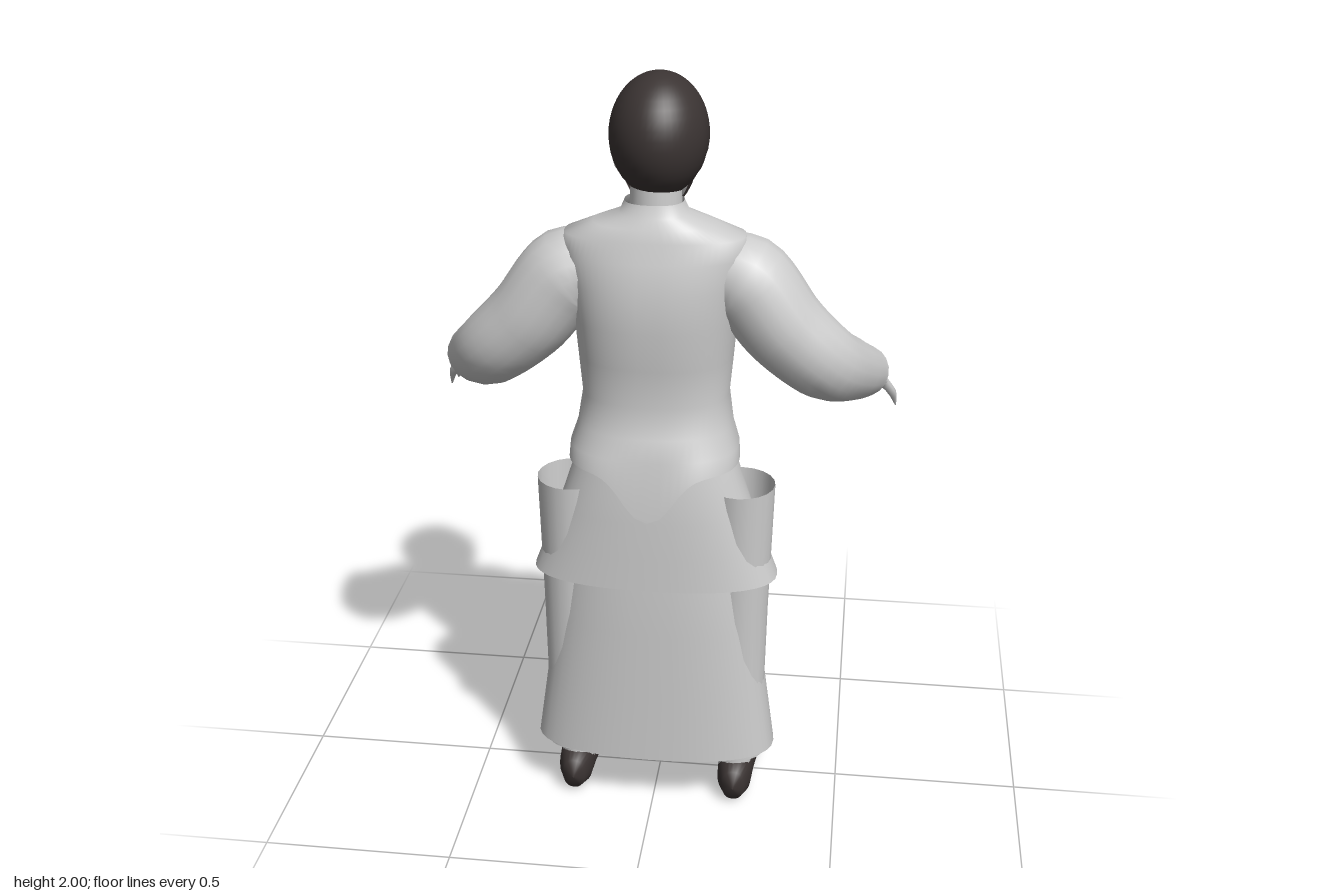
import * as THREE from 'three';
import { mergeVertices } from 'three/addons/utils/BufferGeometryUtils.js';

const mat = (name, color, side = THREE.FrontSide) => {
  const m = new THREE.MeshStandardMaterial({ color, side });
  m.name = name;
  return m;
};

// Surface from a grid of points; rows ascend, columns run from +x towards +z
function grid(rows, cols, closed, at) {
  const pos = [], idx = [], n = closed ? cols : cols + 1;
  for (let j = 0; j <= rows; j++) for (let i = 0; i < n; i++) pos.push(...at(j, i / cols));
  for (let j = 0; j < rows; j++) for (let i = 0; i < cols; i++) {
    const a = j * n + i, b = j * n + (i + 1) % n;
    idx.push(a, a + n, b, b, a + n, b + n);
  }
  const g = new THREE.BufferGeometry();
  g.setAttribute('position', new THREE.Float32BufferAttribute(pos, 3));
  g.setIndex(idx);
  g.computeVertexNormals();
  return g;
}

// Loft of rounded sections [y, halfWidth, zFront, zBack]; gap opens the front
function loft(rings, { power = 2.4, gap = 0, cols = 40, hem = null } = {}) {
  const t0 = -Math.PI / 2 + gap, span = 2 * Math.PI - 2 * gap;
  const bend = v => Math.sign(v) * Math.abs(v) ** (2 / power);
  return grid(rings.length - 1, cols, gap === 0, (j, u) => {
    const [y, hx, zf, zb] = rings[j], t = t0 + span * u;
    const c = Math.cos(t), s = Math.sin(t);
    return [hx * bend(c), y + (hem ? hem(j, s, c) : 0), (zf + zb) / 2 + bend(s) * (zb - zf) / 2];
  });
}

// Smooth tube through points with a radius at each point
function taper(points, radii, steps = 20, sides = 14) {
  const curve = new THREE.CatmullRomCurve3(points.map(p => new THREE.Vector3(...p)));
  let g = new THREE.TubeGeometry(curve, steps, 1, sides);
  const p = g.attributes.position, v = new THREE.Vector3();
  for (let i = 0; i < p.count; i++) {
    const u = Math.floor(i / (sides + 1)) / steps, c = curve.getPointAt(u);
    // radii follow the same curve parameter as the points
    const k = Math.min(curve.getUtoTmapping(u), 0.9999) * (radii.length - 1), a = Math.floor(k);
    const r = THREE.MathUtils.lerp(radii[a], radii[a + 1], k - a);
    v.fromBufferAttribute(p, i).sub(c).multiplyScalar(r).add(c);
    p.setXYZ(i, v.x, v.y, v.z);
  }
  g.deleteAttribute('uv');
  g.deleteAttribute('normal');
  g = mergeVertices(g, 1e-5);
  g.computeVertexNormals();
  return g;
}

export function createModel() {
  const model = new THREE.Group();
  const cloth = mat('pale cloth', 0xcccccc, THREE.DoubleSide);
  const skin = mat('pale skin', 0xcccccc);
  const dark = mat('dark brown', 0x3b3433, THREE.DoubleSide);
  const black = mat('black frame', 0x1c1a1a);
  const add = (name, geometry, material, pos = [0, 0, 0], scale = [1, 1, 1]) => {
    const m = new THREE.Mesh(geometry, material);
    m.name = name;
    m.position.set(...pos);
    m.scale.set(...scale);
    model.add(m);
    return m;
  };
  const ball = new THREE.SphereGeometry(1, 20, 14);

  // Jacket: open front, rear hem drawn down to a rounded tail
  const body = [
    [1.03, 0.218, -0.05, 0.275], [1.07, 0.215, -0.05, 0.262], [1.12, 0.198, -0.052, 0.235],
    [1.2, 0.186, -0.06, 0.218], [1.3, 0.195, -0.074, 0.228], [1.4, 0.203, -0.078, 0.24],
    [1.5, 0.215, -0.058, 0.238], [1.57, 0.228, -0.02, 0.22], [1.62, 0.222, 0, 0.207],
    [1.65, 0.15, 0.02, 0.198], [1.675, 0.085, 0.04, 0.185], [1.705, 0.072, 0.055, 0.175]];
  const tail = (j, s, c) => j === 0 && s > 0 ? -0.12 * Math.exp(-((c / 0.3) ** 2)) : 0;
  add('jacket', loft(body, { gap: 0.33, cols: 56, hem: tail }), cloth);

  // Vest beneath the jacket, pointed at the front
  const inner = body.slice(0, -1).map(([y, w, f, b]) => [y, w - 0.01, f + 0.006, b - 0.012]);
  add('vest', loft(inner, { cols: 56, hem: (j, s, c) => j === 0 && s < 0 ? -0.05 * Math.max(0, 1 - Math.abs(c) / 0.5) : 0 }), cloth);

  // Two layers of skirt
  add('overskirt', loft([[0.69, 0.322, -0.044, 0.232], [0.78, 0.288, -0.044, 0.23], [0.88, 0.253, -0.042, 0.227],
    [0.98, 0.22, -0.038, 0.222], [1.08, 0.19, -0.03, 0.205]]), cloth);
  add('longSkirt', loft([[0.165, 0.326, -0.05, 0.23], [0.35, 0.3, -0.05, 0.228], [0.55, 0.272, -0.05, 0.226],
    [0.7, 0.25, -0.048, 0.224], [0.85, 0.22, -0.043, 0.215], [1.0, 0.19, -0.03, 0.2]],
  { hem: (j, s, c) => j === 0 && s < 0 ? 0.035 * Math.max(0, 1 - Math.abs(c) / 0.12) : 0 }), cloth);

  for (const s of [1, -1]) {
    const side = s > 0 ? 'left' : 'right';
    const path = pts => pts.map(([x, y, z]) => [s * x, y, z]);
    // Facing is reversed, so the +x limbs are the ones on the x > 0 side of the frame
    add(side + 'Sleeve', taper(path([[0.13, 1.53, 0.085], [0.22, 1.5, 0.085], [0.32, 1.38, 0.09], [0.415, 1.29, 0.065],
      [0.48, 1.23, -0.03], [0.525, 1.19, -0.12]]), [0.09, 0.115, 0.108, 0.098, 0.083, 0.066], 28, 18), cloth);
    add(side + 'Wrist', taper(path([[0.5, 1.21, -0.07], [0.525, 1.18, -0.13], [0.54, 1.15, -0.18]]), [0.035, 0.032, 0.03], 6), skin);
    const palm = add(side + 'Palm', ball, skin, [s * 0.545, 1.145, -0.185], [0.042, 0.02, 0.052]);
    palm.lookAt(s * 0.585, 1.08, -0.27);
    const fingers = [
      [[0.573, 1.14, -0.178], [0.598, 1.1, -0.2], [0.61, 1.055, -0.222]],
      [[0.57, 1.13, -0.2], [0.592, 1.095, -0.235], [0.602, 1.055, -0.268]],
      [[0.555, 1.13, -0.21], [0.565, 1.105, -0.25], [0.565, 1.07, -0.288]],
      [[0.54, 1.13, -0.21], [0.55, 1.115, -0.245], [0.545, 1.095, -0.275]],
      [[0.515, 1.15, -0.18], [0.5, 1.135, -0.215], [0.485, 1.115, -0.25]]];
    for (const f of fingers) add(side + 'Finger', taper(path(f), [0.014, 0.0115, 0.002], 8, 8), skin);

    // Trouser leg, ankle and toed shoe
    const leg = [[0.14, 0.078, 0.045, 0.17], [0.3, 0.075, 0.04, 0.17], [0.6, 0.08, 0.02, 0.18], [0.95, 0.09, 0, 0.19]];
    add(side + 'Trouser', loft(leg, { cols: 20, power: 2 }), cloth, [s * 0.22, 0, 0]);
    add(side + 'Ankle', new THREE.CylinderGeometry(0.045, 0.045, 0.12, 16), skin, [s * 0.22, 0.13, 0.1]);
    const shoe = loft([[-0.178, 0.002, 0.05, 0.054], [-0.168, 0.03, 0.012, 0.1], [-0.13, 0.046, 0, 0.122], [-0.06, 0.05, 0, 0.13],
      [0, 0.055, 0, 0.115], [0.04, 0.062, 0.002, 0.088], [0.08, 0.065, 0.004, 0.066], [0.11, 0.058, 0.008, 0.054],
      [0.12, 0.002, 0.028, 0.032]], { cols: 24 }).rotateX(-Math.PI / 2);
    add(side + 'Shoe', shoe, dark, [s * 0.222, 0, 0]);
    for (let i = 0; i < 5; i++) {
      const r = 0.019 - i * 0.0015;
      add(side + 'Toe', ball, dark, [s * (0.177 + i * 0.0235), 0.03, -0.113 + 0.004 * i * (i - 1) / 2], [r * 0.85, r * 1.2, r * 1.3]);
    }

    // Ears, eyes and glasses
    add(side + 'Ear', ball, skin, [s * 0.096, 1.795, 0.06], [0.012, 0.035, 0.022]);
    add(side + 'Eye', ball, dark, [s * 0.038, 1.812, -0.066], [0.013, 0.006, 0.004]);
    add(side + 'Rim', new THREE.TorusGeometry(0.033, 0.0028, 8, 28), black, [s * 0.043, 1.805, -0.085]);
    add(side + 'GlassesArm', taper(path([[0.076, 1.808, -0.085], [0.092, 1.81, -0.04], [0.098, 1.81, 0.05]]), [0.0025, 0.0025, 0.0025], 10, 6), black);
  }
  add('glassesBridge', new THREE.BoxGeometry(0.022, 0.004, 0.004), black, [0, 1.812, -0.086]);

  // Neck and head
  add('neck', new THREE.CylinderGeometry(0.06, 0.07, 0.18, 20), skin, [0, 1.68, 0.085]);
  add('head', loft([[1.655, 0.002, -0.03, -0.02], [1.66, 0.035, -0.05, 0.03], [1.69, 0.06, -0.06, 0.08], [1.74, 0.082, -0.064, 0.13],
    [1.8, 0.092, -0.064, 0.16], [1.86, 0.096, -0.066, 0.17], [1.92, 0.088, -0.058, 0.16], [1.96, 0.055, -0.02, 0.12]],
  { power: 2.2 }), skin);
  add('nose', new THREE.ConeGeometry(0.018, 0.06, 10), skin, [0, 1.79, -0.068], [1, 1, 1.1]);
  add('lips', ball, skin, [0, 1.735, -0.066], [0.022, 0.008, 0.008]);

  // Beard wraps the jaw and chin, rising at the sides
  const beard = grid(6, 28, false, (j, u) => {
    const t = -Math.PI - 0.1 + (Math.PI + 0.2) * u, k = j / 6, c = Math.cos(t);
    const w = 0.03 + 0.059 * Math.sin(k * Math.PI / 2);
    return [w * c, 1.645 + k * (0.068 + 0.045 * c * c), 0.025 + Math.sin(t) * (0.06 + 0.037 * Math.sin(k * Math.PI / 2))];
  });
  add('beard', beard, dark);
  add('chinBeard', ball, dark, [0, 1.678, -0.028], [0.05, 0.032, 0.04]);
  add('moustache', ball, dark, [0, 1.752, -0.064], [0.032, 0.006, 0.008]);

  // Hair: cap cut high over the brow and low at the nape
  const hair = grid(16, 48, true, (j, u) => {
    const t = u * 2 * Math.PI, s = Math.sin(t);
    const low = 1.1 + 0.6 * THREE.MathUtils.smoothstep(s, -0.9, 0) + 0.92 * THREE.MathUtils.smoothstep(s, -0.1, 0.4);
    const a = low * (1 - j / 16);
    return [0.005 + 0.121 * Math.sin(a) * Math.cos(t), 1.85 + 0.15 * Math.cos(a), 0.062 + 0.143 * Math.sin(a) * s];
  });
  add('hair', hair, dark);
  return model;
}
